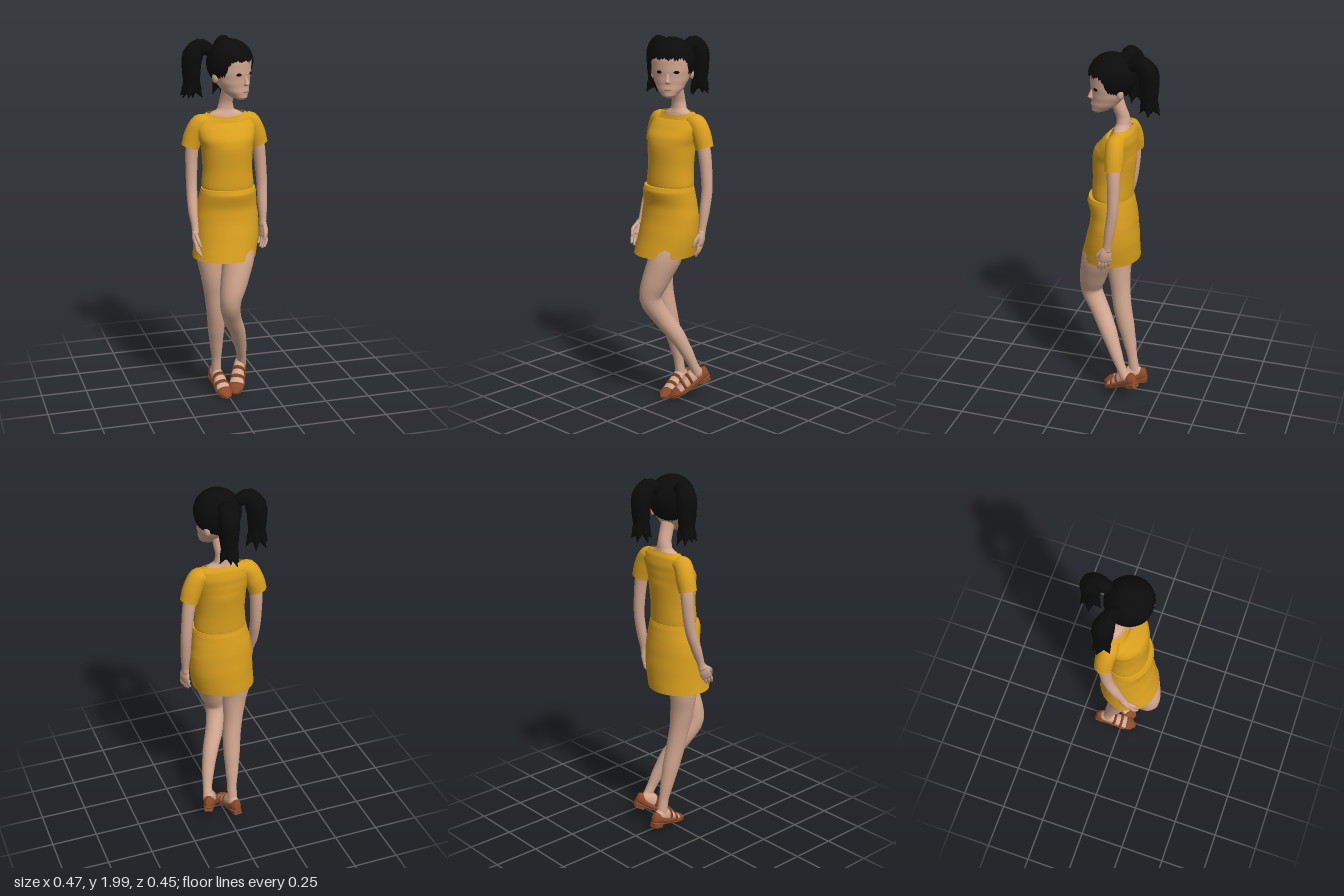
import * as THREE from 'three';

const paint = (name, color, side = THREE.FrontSide) => {
  const m = new THREE.MeshStandardMaterial({ color, side });
  m.name = name;
  return m;
};

// Smooth skin over elliptical sections [x, y, z, halfWidth, halfDepth].
// "ref" is the direction of halfDepth; "axis" fixes the section normal if given.
function sweep(points, { ref = [0, 0, 1], axis = null, caps = true, sides = 18, steps = 4, warp = null } = {}) {
  const path = new THREE.CatmullRomCurve3(points.map(p => new THREE.Vector3(p[0], p[1], p[2])));
  const at = u => {
    const f = u * (points.length - 1), i = Math.min(Math.floor(f), points.length - 2), k = f - i;
    const s = k * k * (3 - 2 * k), a = points[i], b = points[i + 1];
    return [3, 4].map(n => a[n] + (b[n] - a[n]) * (0.5 * s + 0.5 * k));
  };
  const rows = (points.length - 1) * steps, pos = [], idx = [];
  for (let i = 0; i <= rows; i++) {
    const u = i / rows, c = path.getPoint(u), [rw, rd] = at(u);
    const t = axis ? new THREE.Vector3(...axis) : path.getTangent(u);
    const f = new THREE.Vector3(...ref);
    f.addScaledVector(t, -f.dot(t)).normalize();
    const s = f.clone().cross(t);
    for (let j = 0; j < sides; j++) {
      const a = j / sides * Math.PI * 2;
      const v = c.clone().addScaledVector(s, rw * Math.cos(a)).addScaledVector(f, rd * Math.sin(a));
      if (warp) warp(v);
      pos.push(v.x, v.y, v.z);
      if (i < rows) {
        const p = i * sides + j, q = i * sides + (j + 1) % sides;
        idx.push(p, q, q + sides, p, q + sides, p + sides);
      }
    }
  }
  if (caps) {
    for (const [row, u] of [[0, 0], [rows, 1]]) {
      const c = path.getPoint(u), n = pos.length / 3;
      pos.push(c.x, c.y, c.z);
      for (let j = 0; j < sides; j++) {
        const p = row * sides + j, q = row * sides + (j + 1) % sides;
        row ? idx.push(p, q, n) : idx.push(q, p, n);
      }
    }
  }
  const g = new THREE.BufferGeometry();
  g.setAttribute('position', new THREE.Float32BufferAttribute(pos, 3));
  g.setIndex(idx);
  g.computeVertexNormals();
  return g;
}

// Garment levels [y, xMin, xMax, zMin, zMax] turned into sections
const bands = list => list.map(([y, a, b, c, d]) => [(a + b) / 2, y, (c + d) / 2, (b - a) / 2, (d - c) / 2]);

export function createModel() {
  const skin = paint('skin', 0xd2a790), cloth = paint('yellow cloth', 0xdaa01e, THREE.DoubleSide);
  const black = paint('black hair', 0x0b0b0c, THREE.DoubleSide), leather = paint('brown leather', 0x8c4a29);
  const lip = paint('lips', 0xbd8876);
  const root = new THREE.Group();
  root.name = 'girl';
  const add = (name, geo, mat, parent = root) => {
    const m = new THREE.Mesh(geo, mat);
    m.name = name;
    parent.add(m);
    return m;
  };
  const ball = (name, mat, parent, p, s) => {
    const m = add(name, new THREE.SphereGeometry(1, 16, 12), mat, parent);
    m.position.set(...p);
    m.scale.set(...s);
    return m;
  };
  const up = [0, 1, 0];

  // Clothes
  add('shirt', sweep(bands([
    [1.2, -.138, .133, -.08, .13], [1.23, -.143, .138, -.083, .134], [1.32, -.135, .13, -.088, .13],
    [1.43, -.14, .135, -.1, .132], [1.48, -.155, .148, -.1, .12], [1.53, -.16, .16, -.1, .08],
    [1.58, -.145, .15, -.092, .035], [1.608, -.1, .106, -.078, .022]]),
    { axis: up, caps: false, sides: 28, warp: v => { if (v.y > 1.57) v.y -= .5 * Math.max(0, v.z + .02); } }), cloth);
  add('skirt', sweep(bands([
    [1.215, -.148, .143, -.083, .152], [1.19, -.154, .148, -.09, .16], [1.12, -.17, .156, -.1, .143],
    [1.05, -.18, .166, -.107, .15], [.95, -.186, .164, -.115, .175], [.842, -.198, .144, -.116, .205]]),
    { axis: [0, -1, 0], caps: false, sides: 28 }), cloth);
  add('waistSeam', sweep(bands([[1.2, -.145, .14, -.08, .15], [1.217, -.148, .143, -.083, .152]]),
    { axis: up, sides: 28 }), cloth);
  for (const [name, s, z] of [['leftSleeve', 1, 0], ['rightSleeve', -1, -.006]]) {
    add(name, sweep([[s * .09, 1.558, -.03, .036, .045], [s * .135, 1.55, -.03, .05, .05],
      [s * .168, 1.49, -.034 + z, .052, .05], [s * .188, 1.425, -.036 + z, .049, .047]], { caps: false }), cloth);
  }

  // Neck and upper chest
  add('neck', sweep([[.002, 1.56, -.025, .098, .05], [.003, 1.595, -.03, .094, .043], [.003, 1.622, -.033, .045, .037],
    [.004, 1.66, -.03, .036, .036], [.01, 1.71, -.012, .036, .037], [.012, 1.77, .01, .04, .04]], { axis: up }), skin);

  // Arms
  add('leftArm', sweep([[.165, 1.5, -.032, .035, .035], [.188, 1.4, -.036, .034, .035], [.2, 1.3, -.038, .031, .032],
    [.207, 1.2, -.035, .029, .029], [.206, 1.1, -.02, .027, .028], [.205, 1.01, -.005, .019, .021], [.203, .975, 0, .018, .024]]), skin);
  add('rightArm', sweep([[-.165, 1.5, -.036, .035, .035], [-.18, 1.4, -.04, .034, .035], [-.184, 1.3, -.034, .031, .032],
    [-.187, 1.2, -.018, .029, .029], [-.19, 1.1, .018, .027, .028], [-.188, 1.01, .054, .019, .021], [-.19, .975, .066, .018, .024]]), skin);

  // Hands hang below the wrist, fingers slightly curled
  for (const [name, s, x, z, tilt] of [['leftHand', 1, .203, 0, -.06], ['rightHand', -1, -.19, .068, -.3]]) {
    const hand = new THREE.Group();
    hand.name = name;
    hand.position.set(x, .985, z);
    hand.rotation.set(tilt, s * .45, s * (s > 0 ? -.06 : -.1));
    root.add(hand);
    add('palm', sweep([[0, .01, 0, .017, .021], [s * .004, -.03, .002, .018, .032], [s * .002, -.07, .004, .014, .033]]), skin, hand);
    for (let i = 0; i < 4; i++) {
      const fz = .028 - i * .017, len = [.062, .07, .066, .05][i];
      add('finger', sweep([[0, -.06, fz, .009, .009], [0, -.06 - len * .5, fz + .004, .009, .009],
        [-s * .014, -.06 - len, fz + .006, .006, .006]], { sides: 8 }), skin, hand);
    }
    add('thumb', sweep([[-s * .004, -.01, .018, .011, .011], [-s * .016, -.045, .042, .01, .01],
      [-s * .024, -.08, .044, .006, .006]], { sides: 8 }), skin, hand);
  }

  // Legs: the left knee bends forward, the right leg stands
  add('leftLeg', sweep([[.06, .97, .045, .082, .085], [.036, .84, .1, .085, .088], [.003, .72, .138, .073, .076],
    [-.024, .61, .158, .056, .06], [.002, .5, .1, .05, .052], [.048, .4, .04, .044, .047], [.08, .3, -.008, .035, .036],
    [.1, .21, -.048, .026, .027], [.11, .14, -.082, .026, .028]]), skin);
  add('rightLeg', sweep([[-.092, .97, .01, .082, .08], [-.097, .84, .012, .075, .073], [-.084, .72, .016, .064, .064],
    [-.072, .6, .004, .052, .054], [-.06, .5, -.01, .05, .052], [-.052, .4, -.032, .046, .048], [-.045, .3, -.055, .037, .038],
    [-.038, .2, -.075, .027, .028], [-.036, .1, -.09, .027, .03]]), skin);

  // Feet in strapped shoes; local +z runs from heel to toe
  const along = (list, opt = {}) => sweep(list.map(([z, y, w, h]) => [0, y, z, h, w]), { ref: [1, 0, 0], axis: [0, 0, 1], ...opt });
  for (const [name, heel, toe] of [['leftFoot', [.125, .125, -.135], [.032, .02, .06]], ['rightFoot', [-.044, .066, -.15], [-.014, .014, .075]]]) {
    const foot = new THREE.Group();
    foot.name = name;
    foot.position.set(...heel);
    foot.lookAt(...toe);
    root.add(foot);
    add('instep', along([[-.002, .035, .018, .022], [.03, .042, .029, .042], [.07, .045, .032, .044], [.12, .034, .036, .032],
      [.17, .022, .039, .02], [.215, .016, .028, .012]]), skin, foot);
    add('sole', along([[-.014, .004, .018, .008], [.02, .004, .032, .01], [.09, .003, .034, .01], [.16, .003, .044, .01],
      [.21, .003, .036, .01], [.238, .004, .012, .006]]), leather, foot);
    add('shoeWall', along([[-.014, .034, .016, .03], [.01, .033, .031, .034], [.05, .022, .036, .027], [.11, .017, .041, .019],
      [.17, .014, .045, .015], [.2, .014, .04, .014]]), leather, foot);
    add('toeCap', along([[.178, .018, .043, .023], [.205, .015, .039, .02], [.238, .01, .014, .009]]), leather, foot);
    for (const [z, y, w, h] of [[.098, .039, .038, .042], [.142, .028, .041, .031]]) {
      add('strap', along([[z - .008, y + .002, w, h], [z + .008, y - .002, w, h - .002]], { steps: 1 }), leather, foot);
    }
    const block = add('heelBlock', new THREE.BoxGeometry(.046, .022, .055), leather, foot);
    block.position.set(0, -.008, .02);
  }

  // Head, turned to its left
  const head = new THREE.Group();
  head.name = 'head';
  head.position.set(.01, 0, .026);
  head.rotation.y = .58;
  root.add(head);
  add('face', sweep([[0, 1.688, .078, .014, .014], [0, 1.703, .062, .042, .045], [0, 1.74, .034, .073, .074],
    [0, 1.785, .016, .093, .092], [0, 1.83, .008, .103, .104], [0, 1.89, .004, .108, .108], [0, 1.94, 0, .085, .085]],
    { axis: up, sides: 28 }), skin, head);
  add('nose', sweep([[0, 1.822, .1, .007, .008], [0, 1.79, .11, .01, .012], [0, 1.772, .114, .014, .015], [0, 1.762, .106, .01, .008]],
    { axis: [0, -1, 0], sides: 12 }), skin, head);
  ball('mouth', lip, head, [0, 1.733, .104], [.021, .007, .008]);
  for (const s of [-1, 1]) {
    const eye = ball('eye', black, head, [s * .045, 1.823, .1005], [.015, .008, .005]);
    eye.rotation.y = s * .42;
    ball('ear', skin, head, [s * .102, 1.805, -.012], [.012, .028, .018]);
  }

  // Hair cap: a dome whose lower edge is high over the face and low at the nape
  const cap = new THREE.SphereGeometry(1, 48, 20);
  const p = cap.attributes.position, uv = cap.attributes.uv;
  for (let i = 0; i < p.count; i++) {
    const phi = uv.getX(i) * Math.PI * 2, f = Math.sin(phi), k = THREE.MathUtils.smoothstep(f, .45, .72);
    const notch = .06 * (Math.round(uv.getX(i) * 48) % 3 - 1);
    const edge = THREE.MathUtils.lerp(-.62 + .26 * f, .1 + notch * .6, k);
    const a = (1 - uv.getY(i)) * Math.acos(edge);
    p.setXYZ(i, -Math.cos(phi) * Math.sin(a) * .122, 1.872 + Math.cos(a) * .124, f * Math.sin(a) * .124);
  }
  cap.computeVertexNormals();
  add('hairCap', cap, black, head);

  // Two bunches, each ending in pointed locks
  for (const s of [-1, 1]) {
    add('bunch', sweep([[s * .055, 1.93, -.075, .03, .03], [s * .092, 1.95, -.125, .045, .042], [s * .114, 1.905, -.155, .055, .055],
      [s * .12, 1.82, -.16, .047, .05], [s * .118, 1.755, -.16, .04, .042], [s * .118, 1.715, -.16, .033, .033]]), black, head);
    for (const [dx, dz, y] of [[.035, .015, 1.69], [-.03, .025, 1.685], [.005, -.04, 1.68], [.03, -.03, 1.7], [-.03, -.02, 1.675]]) {
      add('lock', sweep([[s * (.118 + dx * .4), 1.78, -.16 + dz * .4, .026, .026], [s * (.118 + dx * .8), 1.73, -.16 + dz * .8, .021, .021],
        [s * (.118 + dx * 1.4), y, -.16 + dz * 1.4, .002, .002]], { sides: 8 }), black, head);
    }
  }
  return root;
}
